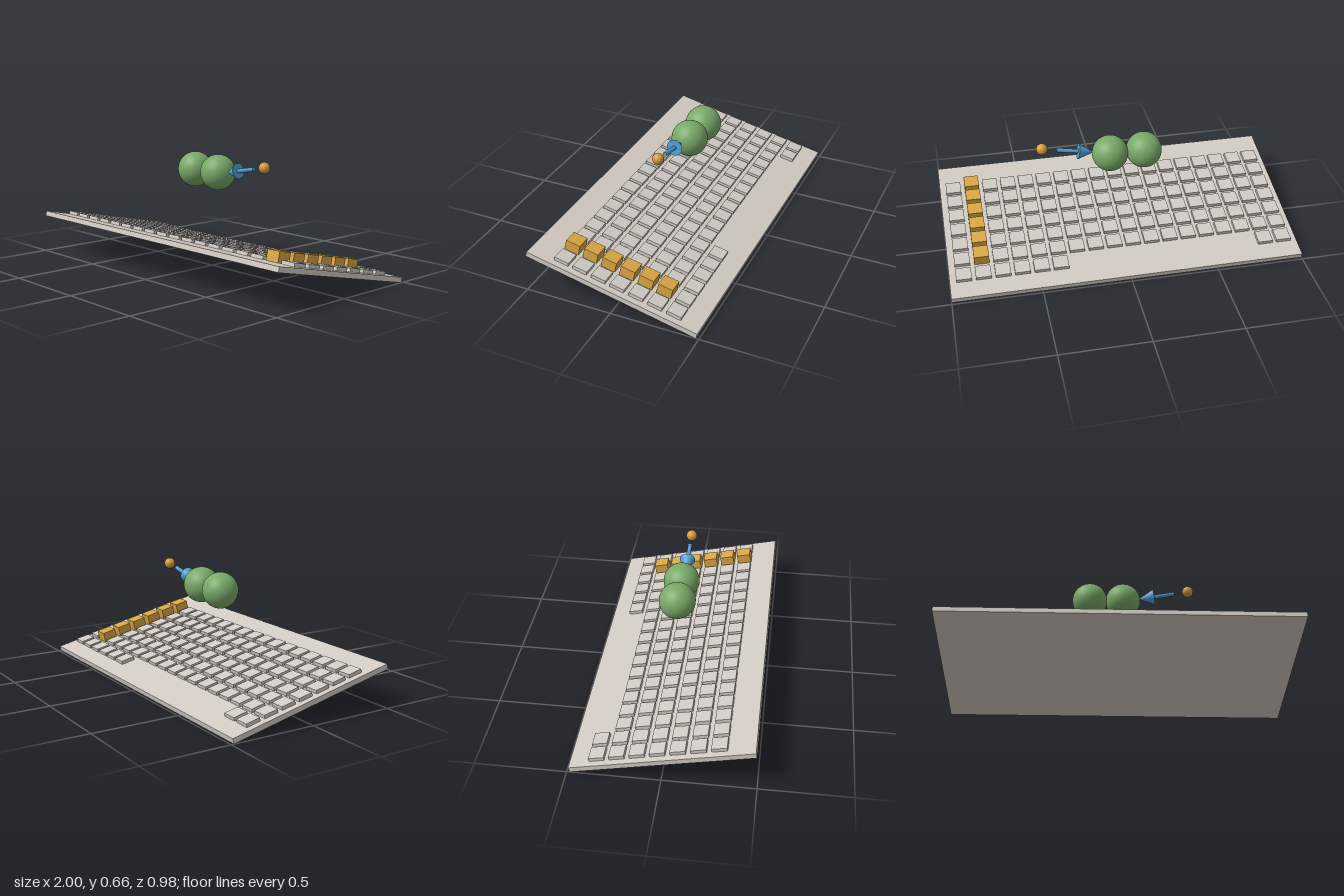
import * as THREE from 'three';

const material = (name, color) => {
  const m = new THREE.MeshStandardMaterial({ color });
  m.name = name;
  return m;
};

export function createModel() {
  const model = new THREE.Group();
  model.name = 'keyboardScene';
  const boardGrey = material('boardGrey', 0xd2cbc3);
  const keyGrey = material('keyGrey', 0xd0cbc4);
  const gold = material('gold', 0xd9a744);
  const amber = material('amber', 0xd79a3a);
  const green = material('leafGreen', 0x78a967);
  const blue = material('arrowBlue', 0x4f9fd3);

  const add = (parent, name, geometry, mat, x, y, z) => {
    const mesh = new THREE.Mesh(geometry, mat);
    mesh.name = name;
    mesh.position.set(x, y, z);
    parent.add(mesh);
    return mesh;
  };

  // Tilted keyboard, raised at the front
  const keyboard = new THREE.Group();
  keyboard.name = 'keyboard';
  keyboard.position.y = 0.125;
  keyboard.rotation.x = -0.222;
  model.add(keyboard);
  add(keyboard, 'board', new THREE.BoxGeometry(2, 0.03, 1), boardGrey, 0, 0, 0);

  // Seven rows of keys; the back row has a gap, one column is tall and gold
  const lowKey = new THREE.BoxGeometry(0.086, 0.02, 0.083);
  const tallKey = new THREE.BoxGeometry(0.084, 0.06, 0.083);
  for (let row = 0; row < 7; row++) {
    for (let col = 0; col < 18; col++) {
      if (row === 0 && col > 1 && col < 12) continue;
      const tall = col === 16 && row > 0;
      add(keyboard, tall ? 'goldKey' : 'key', tall ? tallKey : lowKey, tall ? gold : keyGrey,
        -0.921 + col * 0.1083, 0.015 + (tall ? 0.03 : 0.01), -0.349 + row * 0.11);
    }
  }

  // Pair of floating balls
  const bigBall = new THREE.SphereGeometry(0.1025, 40, 28);
  for (const x of [-0.166, 0.03]) add(model, 'greenBall', bigBall, green, x, 0.553, -0.019);

  // Small ball with an arrow pointing from it to the pair
  const start = new THREE.Vector3(0.415, 0.617, -0.006);
  add(model, 'smallBall', new THREE.SphereGeometry(0.032, 28, 20), amber, start.x, start.y, start.z);

  const arrow = new THREE.Group();
  arrow.name = 'arrow';
  const tip = new THREE.Vector3(0.122, 0.563, -0.008);
  arrow.position.copy(tip);
  arrow.quaternion.setFromUnitVectors(new THREE.Vector3(0, 1, 0), tip.clone().sub(start).normalize());
  model.add(arrow);
  add(arrow, 'arrowHead', new THREE.ConeGeometry(0.045, 0.09, 28), blue, 0, -0.045, 0);
  add(arrow, 'arrowShaft', new THREE.CylinderGeometry(0.012, 0.012, 0.13, 20), blue, 0, -0.15, 0);

  return model;
}
